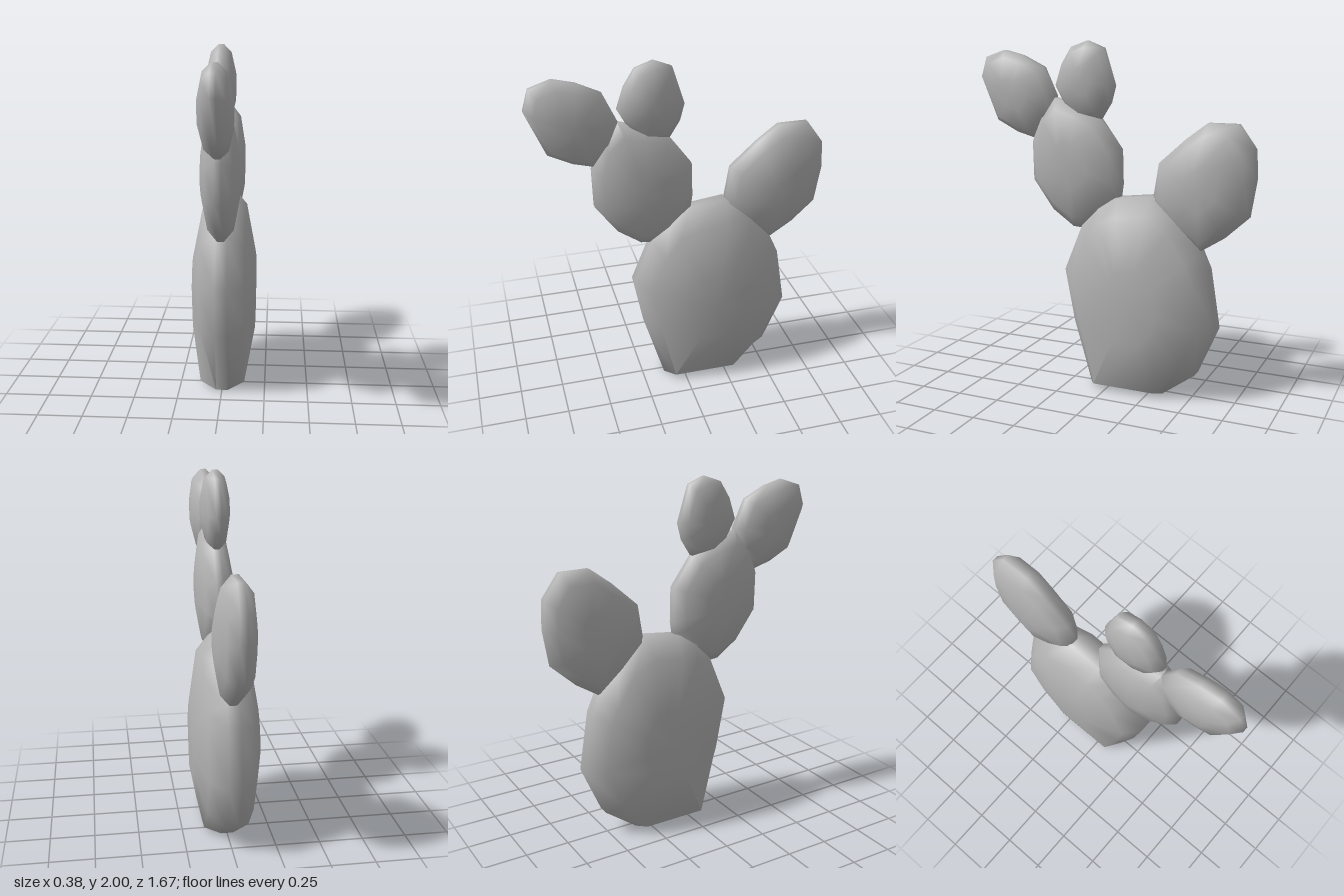
import * as THREE from 'three';
import { toCreasedNormals } from 'three/addons/utils/BufferGeometryUtils.js';

// Cross-section of a pad from the +x face to the -x face: [outline scale, share of half thickness]
const RINGS = [[0.35, 0.98], [0.82, 0.68], [1, 0.18], [1, -0.18], [0.82, -0.68], [0.35, -0.98]];

// Flattened cactus pad; the outline is [z, y] points, clockwise seen from +x
function padGeometry(outline, halfThickness) {
  const n = outline.length;
  const zs = outline.map(p => p[0]), ys = outline.map(p => p[1]);
  const cz = (Math.min(...zs) + Math.max(...zs)) / 2;
  const cy = (Math.min(...ys) + Math.max(...ys)) / 2;
  const positions = [halfThickness, cy, cz];
  for (const [scale, x] of RINGS) {
    for (const [z, y] of outline) {
      // nothing reaches below the ground, which gives the base its flat foot
      positions.push(x * halfThickness, Math.max(0, cy + (y - cy) * scale), cz + (z - cz) * scale);
    }
  }
  positions.push(-halfThickness, cy, cz);

  const last = 1 + RINGS.length * n;
  const index = [];
  for (let i = 0; i < n; i++) {
    const j = (i + 1) % n;
    index.push(0, 1 + j, 1 + i);
    for (let k = 0; k < RINGS.length - 1; k++) {
      const inner = 1 + k * n, outer = inner + n;
      index.push(inner + i, inner + j, outer + j, inner + i, outer + j, outer + i);
    }
    index.push(last, last - n + i, last - n + j);
  }
  const geometry = new THREE.BufferGeometry();
  geometry.setAttribute('position', new THREE.Float32BufferAttribute(positions, 3));
  geometry.setIndex(index);
  return toCreasedNormals(geometry, 1.2);
}

const PADS = [
  { name: 'basePad', half: 0.19, outline: [
    [0.29, 0.68], [0.18, 0.95], [0.08, 1.09], [-0.04, 1.13], [-0.25, 1.155], [-0.42, 1.06], [-0.54, 0.86],
    [-0.585, 0.76], [-0.64, 0.42], [-0.52, 0.14], [-0.33, -0.08], [0.12, -0.08], [0.23, 0.37]] },
  { name: 'middlePad', half: 0.107, outline: [
    [0.45, 1.59], [0.35, 1.68], [0.21, 1.64], [0.07, 1.57], [-0.055, 1.4], [-0.06, 1.2], [-0.05, 1.13],
    [0.06, 1.0], [0.18, 0.935], [0.24, 0.94], [0.37, 1.03], [0.495, 1.2], [0.5, 1.42]] },
  { name: 'frontPad', half: 0.09, outline: [
    [0.835, 1.79], [0.8, 1.905], [0.68, 1.945], [0.56, 1.915], [0.425, 1.85], [0.35, 1.69],
    [0.38, 1.56], [0.49, 1.445], [0.6, 1.475], [0.73, 1.54]] },
  { name: 'topPad', half: 0.08, outline: [
    [0.05, 1.96], [-0.015, 1.755], [0.01, 1.66], [0.07, 1.565], [0.2, 1.57], [0.29, 1.64],
    [0.35, 1.75], [0.31, 1.87], [0.25, 1.965], [0.15, 2.0]] },
  { name: 'backPad', half: 0.105, outline: [
    [-0.56, 1.57], [-0.73, 1.57], [-0.825, 1.44], [-0.833, 1.28], [-0.8, 1.07], [-0.67, 0.95],
    [-0.53, 0.86], [-0.38, 0.97], [-0.25, 1.12], [-0.285, 1.34], [-0.44, 1.48]] },
];

export function createModel() {
  const group = new THREE.Group();
  group.name = 'cactus';
  const grey = new THREE.MeshStandardMaterial({ color: 0xb4b4b4 });
  grey.name = 'grey';
  for (const { name, half, outline } of PADS) {
    const pad = new THREE.Mesh(padGeometry(outline, half), grey);
    pad.name = name;
    group.add(pad);
  }
  return group;
}
